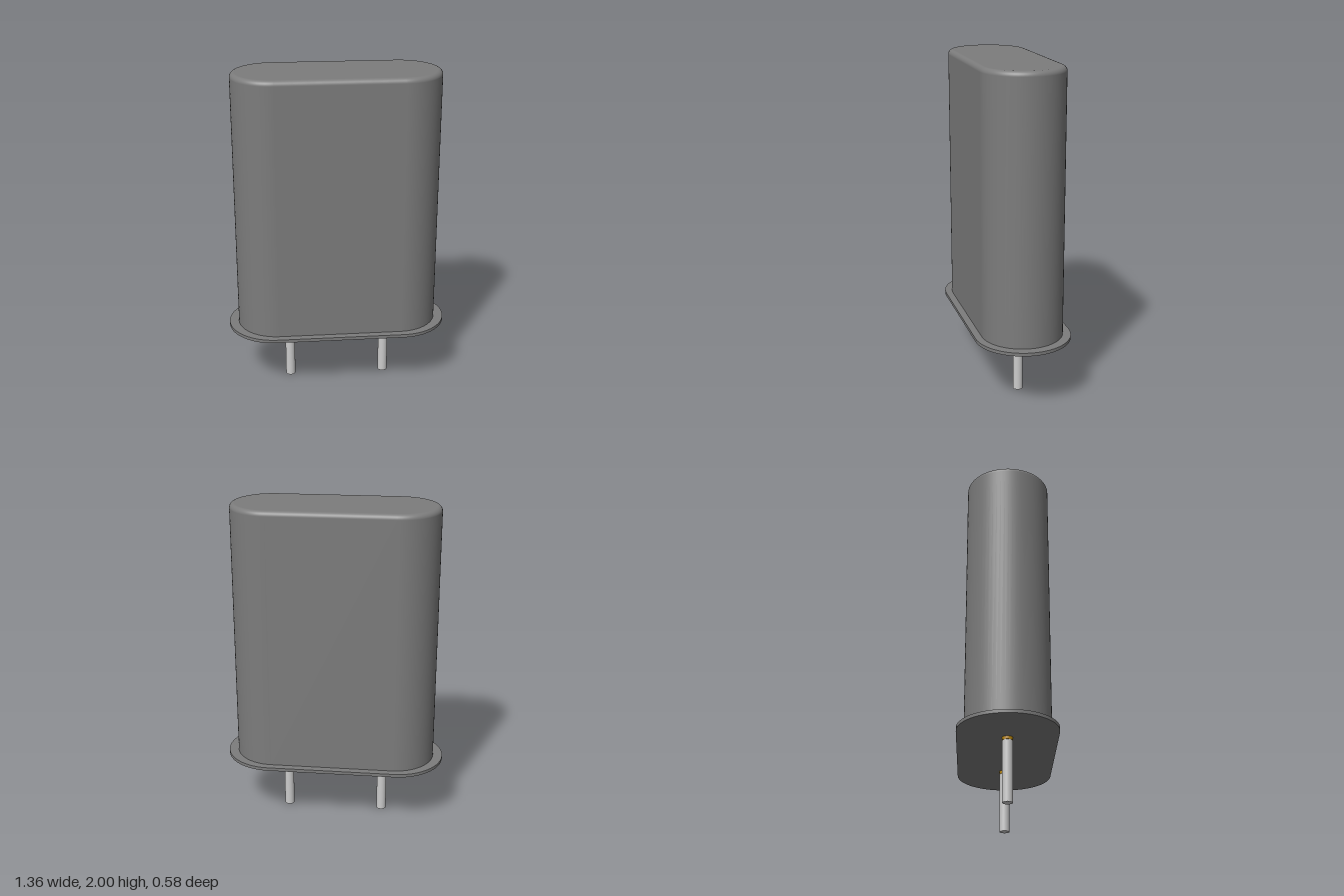
import * as THREE from 'three';

const UP = Math.PI / 2;

// Lofts a stadium outline through a profile of [radius, y, normal elevation]; cx = centre of each round end.
// Repeating a point with another normal gives a sharp edge.
function stadium(cx, profile, steps = 32) {
  const angles = [];
  for (const side of [1, -1]) {
    for (let i = 0; i <= steps; i++) {
      angles.push([side, (side > 0 ? -UP : UP) + (Math.PI * i) / steps]);
    }
  }
  angles.push([1, -UP]);
  const position = [], normal = [], index = [];
  for (const [r, y, e] of profile) {
    for (const [side, t] of angles) {
      position.push(side * cx + r * Math.cos(t), y, r * Math.sin(t));
      normal.push(Math.cos(e) * Math.cos(t), Math.sin(e), Math.cos(e) * Math.sin(t));
    }
  }
  const n = angles.length;
  for (let j = 0; j < profile.length - 1; j++) {
    for (let i = 0; i < n - 1; i++) {
      const a = j * n + i, b = a + n;
      index.push(a, b, a + 1, b, b + 1, a + 1);
    }
  }
  const geometry = new THREE.BufferGeometry();
  geometry.setAttribute('position', new THREE.Float32BufferAttribute(position, 3));
  geometry.setAttribute('normal', new THREE.Float32BufferAttribute(normal, 3));
  geometry.setIndex(index);
  return geometry;
}

export function createModel() {
  const group = new THREE.Group();
  const metal = new THREE.MeshStandardMaterial({ color: 0x7c7c7c });
  const leadMetal = new THREE.MeshStandardMaterial({ color: 0xcccccc });
  const gold = new THREE.MeshStandardMaterial({ color: 0xb8860b });

  const add = (name, geometry, material, x = 0, y = 0) => {
    const mesh = new THREE.Mesh(geometry, material);
    mesh.name = name;
    mesh.position.set(x, y, 0);
    group.add(mesh);
  };

  // Tall can with a rounded top edge
  const R = 0.247, bevel = 0.03;
  const can = [[R, 0.39, 0]];
  for (let i = 0; i <= 8; i++) {
    const e = (UP * i) / 8;
    can.push([R - bevel + bevel * Math.cos(e), 2 - bevel + bevel * Math.sin(e), e]);
  }
  can.push([0, 2, UP]);
  add('can', stadium(0.375, can), metal);

  // Thin flange with sharp edges
  const F = 0.29, low = 0.38, high = 0.4;
  add('baseFlange', stadium(0.39, [
    [0, low, -UP], [F, low, -UP], [F, low, 0], [F, high, 0], [F, high, UP], [0, high, UP],
  ]), metal);

  // Two wire leads, each with an insulating collar
  for (const [side, x] of [['left', 0.3], ['right', -0.3]]) {
    add(side + 'Lead', new THREE.CylinderGeometry(0.03, 0.03, 0.38, 32), leadMetal, x, 0.19);
    add(side + 'Collar', new THREE.CylinderGeometry(0.032, 0.032, 0.02, 32), gold, x, 0.372);
  }
  return group;
}
